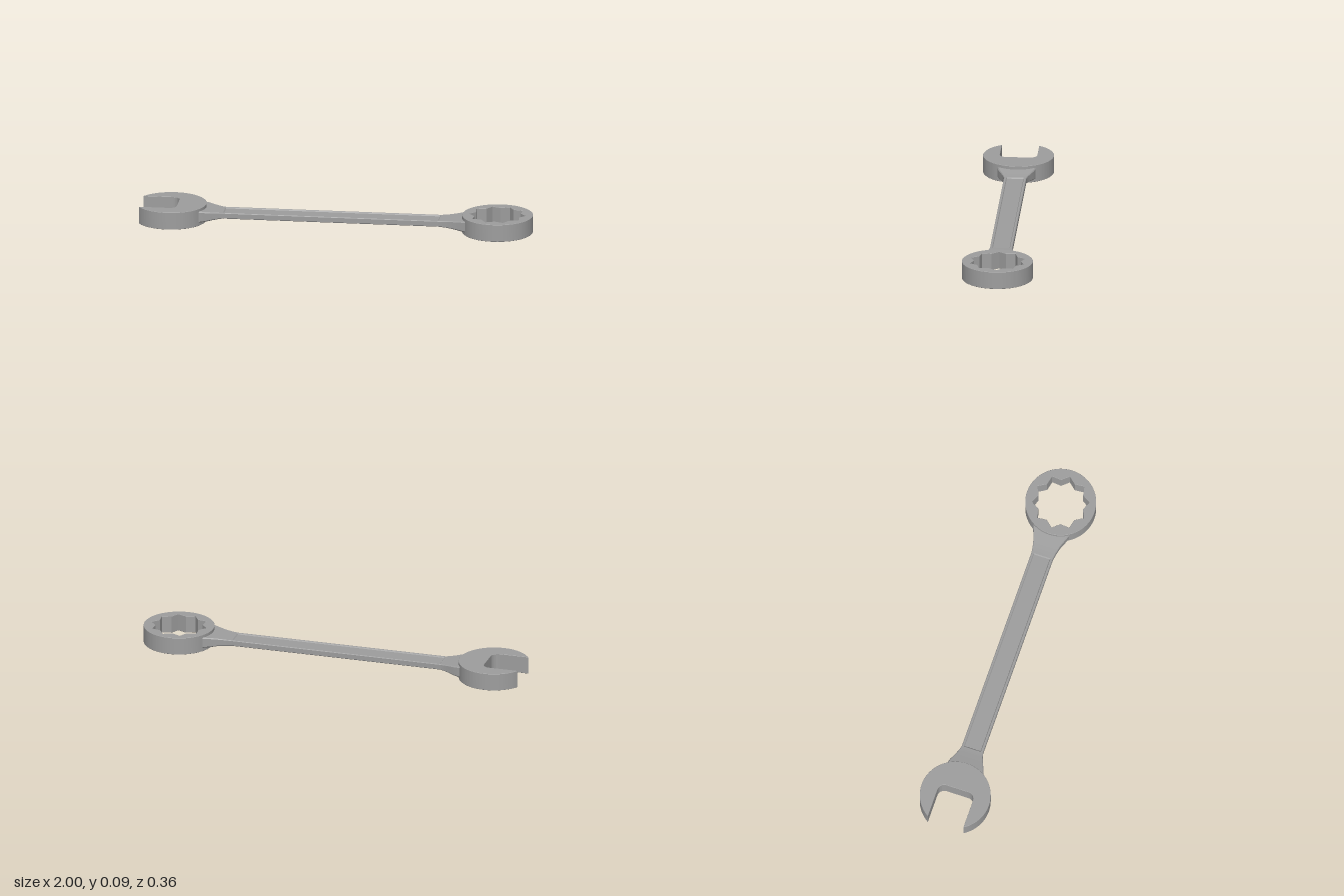
import * as THREE from 'three';
import { toCreasedNormals } from 'three/addons/utils/BufferGeometryUtils.js';

const HEIGHT = 0.09, RADIUS = 0.18, EDGE = 0.0015;
const material = new THREE.MeshStandardMaterial({ color: 0x9e9e9e });

function part(name, geometry) {
  const mesh = new THREE.Mesh(toCreasedNormals(geometry, 0.45), material);
  mesh.name = name;
  return mesh;
}

// Flat outline raised to the full head height with a fine edge bevel
function headGeometry(shape) {
  const g = new THREE.ExtrudeGeometry(shape, {
    depth: HEIGHT - 2 * EDGE, curveSegments: 64,
    bevelThickness: EDGE, bevelSize: EDGE, bevelOffset: -EDGE, bevelSegments: 1,
  });
  g.rotateX(-Math.PI / 2);
  g.translate(0, EDGE, 0);
  return g;
}

// Round head with a parallel jaw slot that has rounded inner corners
function openHead() {
  const cx = -0.848, slot = 0.095, end = -0.813, r = 0.037;
  const a = Math.PI - Math.asin(slot / RADIUS);
  const s = new THREE.Shape();
  s.absarc(cx, 0, RADIUS, -a, a, false);
  s.lineTo(end - r, slot);
  s.absarc(end - r, slot - r, r, Math.PI / 2, 0, true);
  s.lineTo(end, r - slot);
  s.absarc(end - r, r - slot, r, 0, -Math.PI / 2, true);
  s.closePath();
  return headGeometry(s);
}

// Ring head with a star-shaped socket of ten deep points
function ringHead() {
  const cx = 0.82, count = 10;
  const s = new THREE.Shape();
  s.absarc(cx, 0, RADIUS, 0, Math.PI * 2, false);
  const points = [];
  for (let i = 0; i < 2 * count; i++) {
    const a = -i * Math.PI / count, r = i % 2 ? 0.119 : 0.145;
    points.push(new THREE.Vector2(cx + r * Math.cos(a), r * Math.sin(a)));
  }
  s.holes.push(new THREE.Path(points));
  return headGeometry(s);
}

// Recessed shank flaring into both heads: [x, half width, half height, recess depth]
function shank() {
  const stations = [
    [-0.695, 0.097, 0.030, 0], [-0.665, 0.090, 0.026, 0], [-0.63, 0.074, 0.021, 0],
    [-0.60, 0.063, 0.017, 0], [-0.577, 0.057, 0.015, 0], [-0.572, 0.057, 0.015, 0.005],
    [0.520, 0.057, 0.015, 0.005], [0.525, 0.057, 0.015, 0], [0.56, 0.062, 0.017, 0],
    [0.60, 0.071, 0.021, 0], [0.64, 0.086, 0.026, 0], [0.667, 0.097, 0.028, 0],
  ];
  const positions = [], index = [];
  for (const [x, w, h, d] of stations) {
    // Top half of the section from +z to -z, then the same turned over
    const half = [
      [w, h * 0.8], [w * 0.95, h], [w * 0.8, h], [w * 0.74, h - d],
      [-w * 0.74, h - d], [-w * 0.8, h], [-w * 0.95, h], [-w, h * 0.8],
    ];
    for (const k of [1, -1]) {
      for (const [z, y] of half) positions.push(x, HEIGHT / 2 + 0.001 + k * y, k * z);
    }
  }
  const n = 16;
  for (let i = 0; i < stations.length - 1; i++) {
    for (let j = 0; j < n; j++) {
      const a = i * n + j, b = i * n + (j + 1) % n;
      index.push(a, a + n, b, b, a + n, b + n);
    }
  }
  const g = new THREE.BufferGeometry();
  g.setAttribute('position', new THREE.Float32BufferAttribute(positions, 3));
  g.setIndex(index);
  return g;
}

export function createModel() {
  const wrench = new THREE.Group();
  wrench.name = 'wrench';
  wrench.add(
    part('openHead', openHead()),
    part('ringHead', ringHead()),
    part('shank', shank()),
  );
  return wrench;
}
